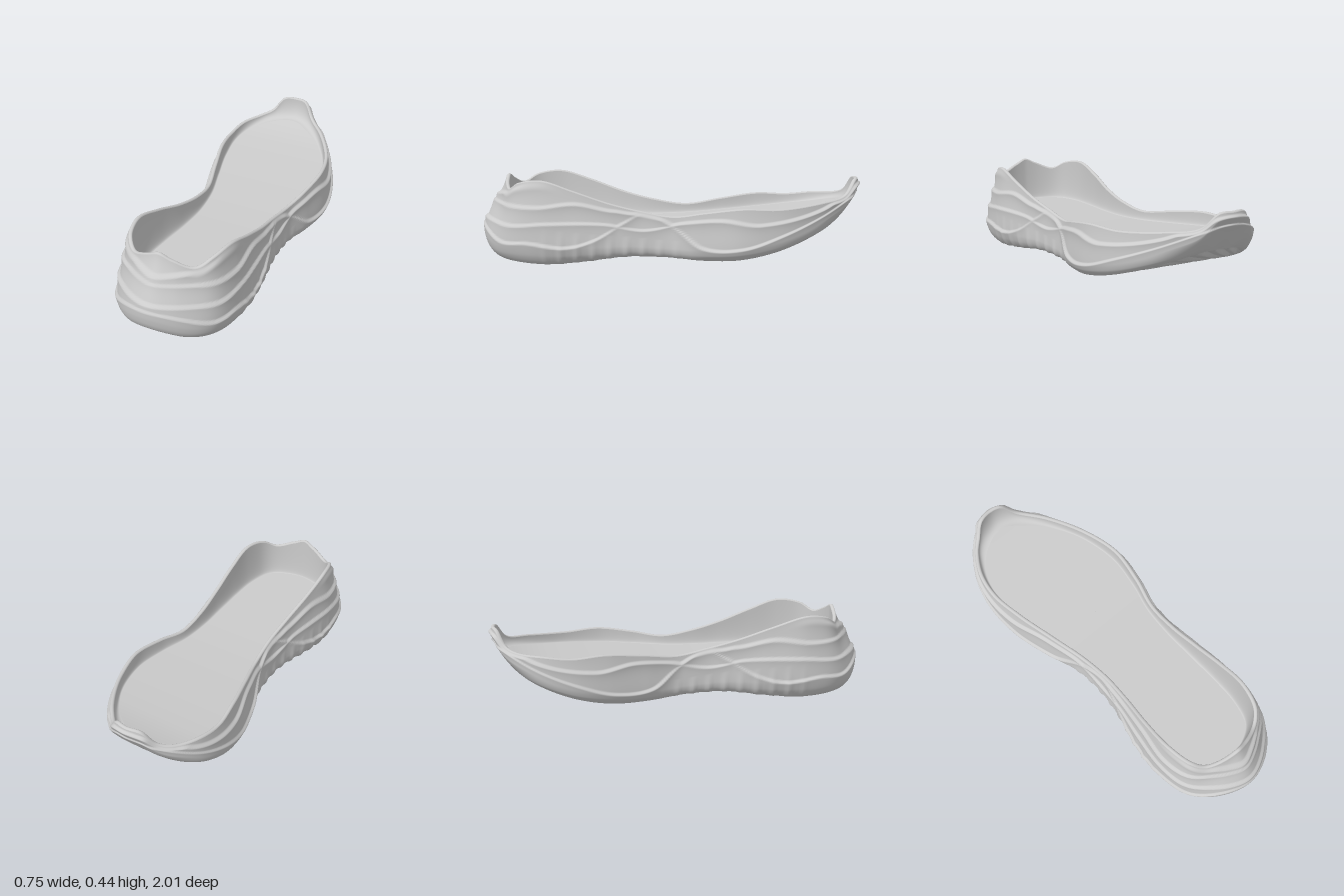
import * as THREE from 'three';

// Smooth interpolation through [position, value] pairs
function table(pairs) {
  const slope = (a, b) => (b[1] - a[1]) / (b[0] - a[0]);
  return (x) => {
    const n = pairs.length;
    if (x <= pairs[0][0]) return pairs[0][1];
    if (x >= pairs[n - 1][0]) return pairs[n - 1][1];
    let i = 0;
    while (x > pairs[i + 1][0]) i++;
    const p = pairs[i], q = pairs[i + 1], h = q[0] - p[0], t = (x - p[0]) / h;
    const m0 = i > 0 ? slope(pairs[i - 1], q) : slope(p, q);
    const m1 = i < n - 2 ? slope(p, pairs[i + 2]) : slope(p, q);
    const t2 = t * t, t3 = t2 * t;
    return (2 * t3 - 3 * t2 + 1) * p[1] + (t3 - 2 * t2 + t) * h * m0 + (3 * t2 - 2 * t3) * q[1] + (t3 - t2) * h * m1;
  };
}
const { lerp, smoothstep, clamp } = THREE.MathUtils;

// Widest outline in x and z, with the height of the rim as y: toe, +x side, heel, -x side
const outline = new THREE.CatmullRomCurve3([
  [-0.07, 0.42, -1], [0, 0.415, -0.985], [0.075, 0.34, -0.93], [0.19, 0.315, -0.81], [0.32, 0.295, -0.6],
  [0.37, 0.3, -0.4], [0.35, 0.275, -0.2], [0.315, 0.25, -0.04], [0.315, 0.275, 0.12], [0.335, 0.315, 0.28],
  [0.355, 0.375, 0.46], [0.36, 0.425, 0.63], [0.335, 0.41, 0.78], [0.275, 0.373, 0.88], [0.165, 0.405, 0.965],
  [0.04, 0.432, 1], [-0.085, 0.405, 0.965], [-0.195, 0.373, 0.88], [-0.255, 0.41, 0.78], [-0.28, 0.425, 0.63],
  [-0.265, 0.375, 0.44], [-0.235, 0.315, 0.26], [-0.22, 0.275, 0.1], [-0.235, 0.25, -0.06], [-0.29, 0.275, -0.24],
  [-0.35, 0.3, -0.44], [-0.372, 0.295, -0.62], [-0.345, 0.31, -0.77], [-0.275, 0.32, -0.89],
  [-0.215, 0.345, -0.945], [-0.15, 0.415, -0.985],
].map((p) => new THREE.Vector3(...p)), true);

// Heights and insets along the length
const bottomY = table([[-1, 0.32], [-0.9, 0.235], [-0.8, 0.175], [-0.6, 0.095], [-0.4, 0.05], [-0.2, 0.038], [0, 0.045],
  [0.2, 0.045], [0.4, 0.02], [0.6, 0.002], [0.8, 0.012], [0.9, 0.035], [1, 0.1]]);
const floorY = table([[-1, 0.34], [-0.85, 0.29], [-0.7, 0.26], [-0.4, 0.23], [0, 0.205], [0.4, 0.2], [1, 0.2]]);
const bottomInset = table([[-1, 0.1], [-0.9, 0.05], [-0.7, 0.03], [0, 0.03], [0.6, 0.045], [0.85, 0.045], [1, 0.03]]);
const rimInset = table([[-1, 0], [-0.8, 0.01], [-0.5, 0.025], [0, 0.02], [0.4, 0.04], [0.7, 0.055], [0.85, 0.072], [1, 0.12]]);
const floorInset = table([[-1, 0.09], [-0.8, 0.06], [-0.5, 0.06], [0, 0.06], [0.4, 0.09], [0.7, 0.105], [0.85, 0.12], [1, 0.16]]);
const curlEnd = table([[-1, 0.95], [-0.9, 0.6], [-0.7, 0.3], [0, 0.25], [1, 0.22]]);
const spineX = table([[-1, -0.07], [-0.6, -0.02], [-0.3, 0.03], [0, 0.04], [1, 0.04]]);
const skin = 0.008;
const rimThickness = 0.02;

// Overlapping wavy bands on the side wall: each stands proud below its line
const bandLines = [
  [[-1, 0.36], [-0.8, 0.25], [-0.6, 0.165], [-0.4, 0.1], [-0.2, 0.1], [-0.05, 0.2], [0.1, 0.265], [0.2, 0.22],
    [0.35, 0.13], [0.5, 0.09], [0.7, 0.11], [0.85, 0.11], [1, 0.185]],
  [[-1, 0.4], [-0.8, 0.28], [-0.5, 0.22], [-0.3, 0.24], [-0.1, 0.22], [0.1, 0.18], [0.3, 0.21], [0.6, 0.21],
    [0.8, 0.195], [1, 0.215]],
  [[0, 0.5], [0.1, 0.29], [0.25, 0.275], [0.45, 0.31], [0.65, 0.29], [0.85, 0.295], [1, 0.305]],
  [[0.45, 0.6], [0.6, 0.45], [0.72, 0.41], [0.85, 0.365], [1, 0.335]],
].map(table);
function bandRelief(y, z) {
  let d = 0;
  for (const line of bandLines) {
    const t = y - line(z);
    d = Math.max(d, 0.015 * (t < 0 ? Math.exp(t / 0.045) : 1 - smoothstep(t, 0, 0.016)));
  }
  return d;
}

// Sampled outline with inward directions
const N = 400;
const stations = Array.from({ length: N }, (_, i) => {
  const u = i / N;
  const p = outline.getPointAt(u);
  const t = outline.getPointAt((u + 0.02) % 1).sub(outline.getPointAt((u + 0.98) % 1));
  const len = Math.hypot(t.x, t.z);
  return { p, nx: -t.z / len, nz: t.x / len };
});
const inset = ({ p, nx, nz }, d, y) => new THREE.Vector3(p.x + nx * d, y, p.z + nz * d);
const towardSpine = (e, k) => {
  const z = clamp(e.z * 0.86, -0.76, 0.7);
  return new THREE.Vector3(lerp(e.x, spineX(z), k), 0, lerp(e.z, z, k));
};

// Side wall, from the rounded bottom edge to the rim
function wallPoint(s, t) {
  const z = s.p.z, b = bottomInset(z), v = Math.pow(t, 1.15);
  const y = lerp(bottomY(inset(s, b + skin, 0).z), s.p.y, v);
  const curl = Math.max(0, 1 - v / curlEnd(z));
  const under = b * lerp(1 - Math.sqrt(1 - curl * curl), Math.pow(curl, 1.4), smoothstep(-z, 0.75, 0.95));
  const lean = rimInset(z) * smoothstep(v, 0.2, 1.1) / smoothstep(1, 0.2, 1.1);
  const fade = smoothstep(v, 0, 0.12) * (1 - smoothstep(v, 0.9, 1));
  const low = Math.max(0, 1 - v / 0.45) * smoothstep(z, -0.2, 0.05) * (1 - smoothstep(z, 0.5, 0.7));
  const scallop = 0.01 * low * Math.max(0, Math.sin(z * 75));
  return inset(s, skin + under + lean - bandRelief(y, z) * fade - scallop, y);
}

// Rounded rim, inner wall and footbed
function rimPoint(s, t) {
  const a = Math.PI * t, r = rimThickness / 2;
  return inset(s, skin + rimInset(s.p.z) + r * (1 - Math.cos(a)), s.p.y + r * 0.7 * Math.sin(a));
}
function innerPoint(s, t) {
  const z = s.p.z, start = skin + rimInset(z) + rimThickness;
  const end = Math.max(start + 0.012, floorInset(z));
  const floor = floorY(inset(s, end, 0).z);
  return inset(s, lerp(start, end, t * t), lerp(s.p.y, floor, Math.sin(t * Math.PI / 2)));
}
function footbedPoint(s, k) {
  const q = towardSpine(innerPoint(s, 1), k);
  q.y = floorY(q.z);
  return q;
}

// Underside with flowing diagonal tread ribs
function outsolePoint(s, k) {
  const q = towardSpine(inset(s, bottomInset(s.p.z) + skin, 0), 1 - k);
  const phase = 2 * Math.PI * (q.z * 13 + q.x * 10 + 0.6 * Math.sin(8 * q.x + 5 * q.z));
  const groove = smoothstep(Math.sin(phase), -0.3, 0.6);
  q.y = bottomY(q.z) + 0.024 * groove * (1 - smoothstep(k, 0.93, 1));
  return q;
}

// Closed band of quads around the outline
function loopSurface(name, fn, rows, material) {
  const pos = [], index = [];
  for (let j = 0; j <= rows; j++) {
    for (const s of stations) pos.push(...fn(s, j / rows).toArray());
  }
  for (let j = 0; j < rows; j++) {
    for (let i = 0; i < N; i++) {
      const a = j * N + i, b = j * N + (i + 1) % N;
      index.push(a, a + N, b, b, a + N, b + N);
    }
  }
  const geometry = new THREE.BufferGeometry();
  geometry.setAttribute('position', new THREE.Float32BufferAttribute(pos, 3));
  geometry.setIndex(index);
  geometry.computeVertexNormals();
  const mesh = new THREE.Mesh(geometry, material);
  mesh.name = name;
  return mesh;
}

export function createModel() {
  const group = new THREE.Group();
  group.name = 'shoeSole';
  const material = new THREE.MeshStandardMaterial({ color: 0xcccccc, side: THREE.DoubleSide });
  group.add(
    loopSurface('outsole', outsolePoint, 44, material),
    loopSurface('sideWall', wallPoint, 64, material),
    loopSurface('rim', rimPoint, 6, material),
    loopSurface('innerWall', innerPoint, 12, material),
    loopSurface('footbed', footbedPoint, 10, material),
  );
  return group;
}
